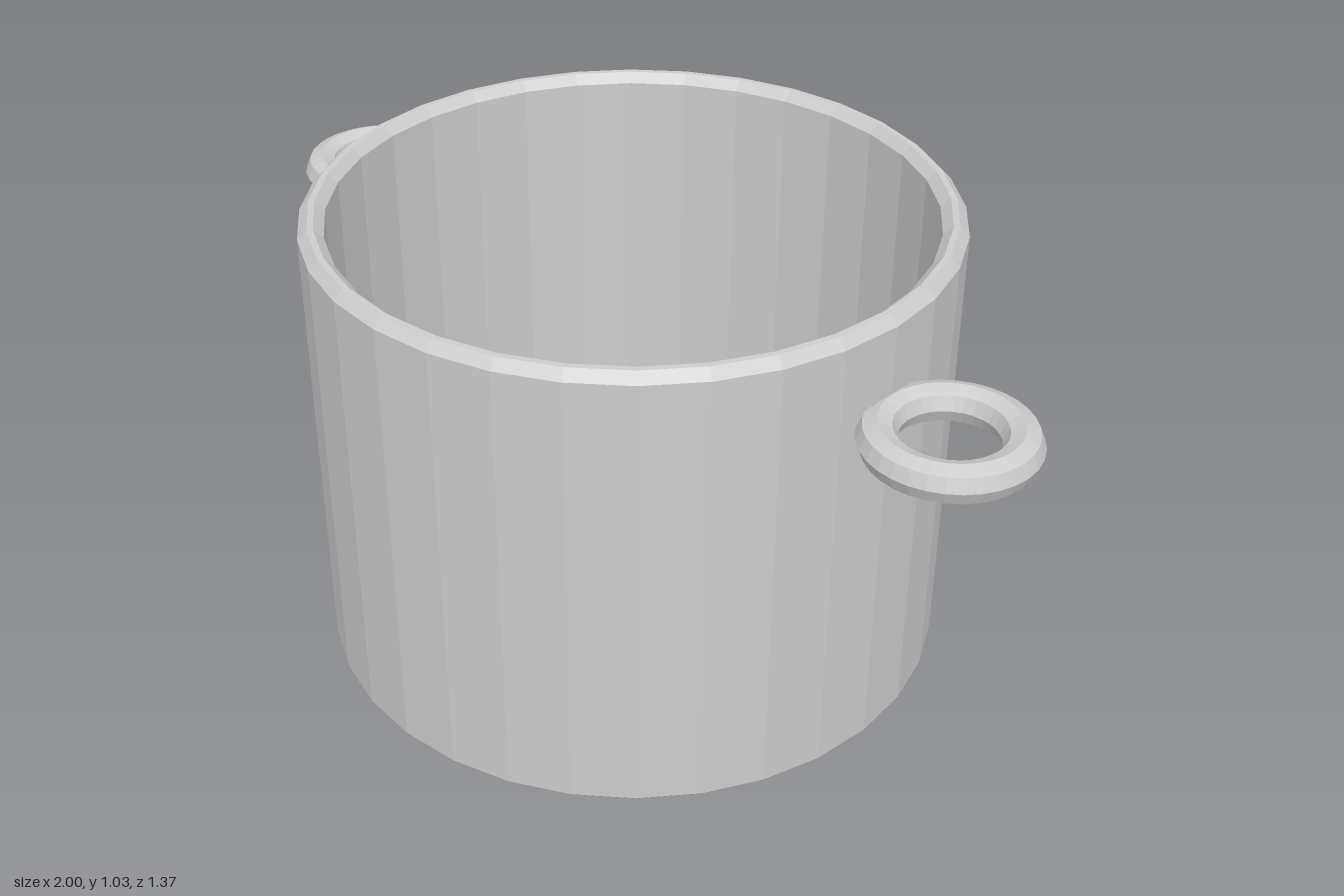
import * as THREE from 'three';

export function createModel() {
  const model = new THREE.Group();
  model.name = 'cookingPot';
  const metal = new THREE.MeshStandardMaterial({ color: 0xcccccc, flatShading: true });
  metal.name = 'grey metal';

  // Pot: one hollow profile with chamfered base, rim and inner floor
  const profile = [
    [0, 0], [0.663, 0], [0.683, 0.02], [0.683, 1.01], [0.663, 1.03],
    [0.65, 1.03], [0.63, 1.01], [0.63, 0.07], [0.61, 0.05], [0, 0.05],
  ].map(([r, y]) => new THREE.Vector2(r, y));
  const pot = new THREE.Mesh(new THREE.LatheGeometry(profile, 32), metal);
  pot.name = 'potBody';
  model.add(pot);

  // Ring handles lying flat on both sides
  const ring = new THREE.TorusGeometry(0.137, 0.04, 8, 32).rotateX(-Math.PI / 2);
  for (const side of [1, -1]) {
    const handle = new THREE.Mesh(ring, metal);
    handle.name = side > 0 ? 'leftHandle' : 'rightHandle';
    handle.position.set(side * 0.823, 0.825, 0);
    model.add(handle);
  }
  return model;
}
